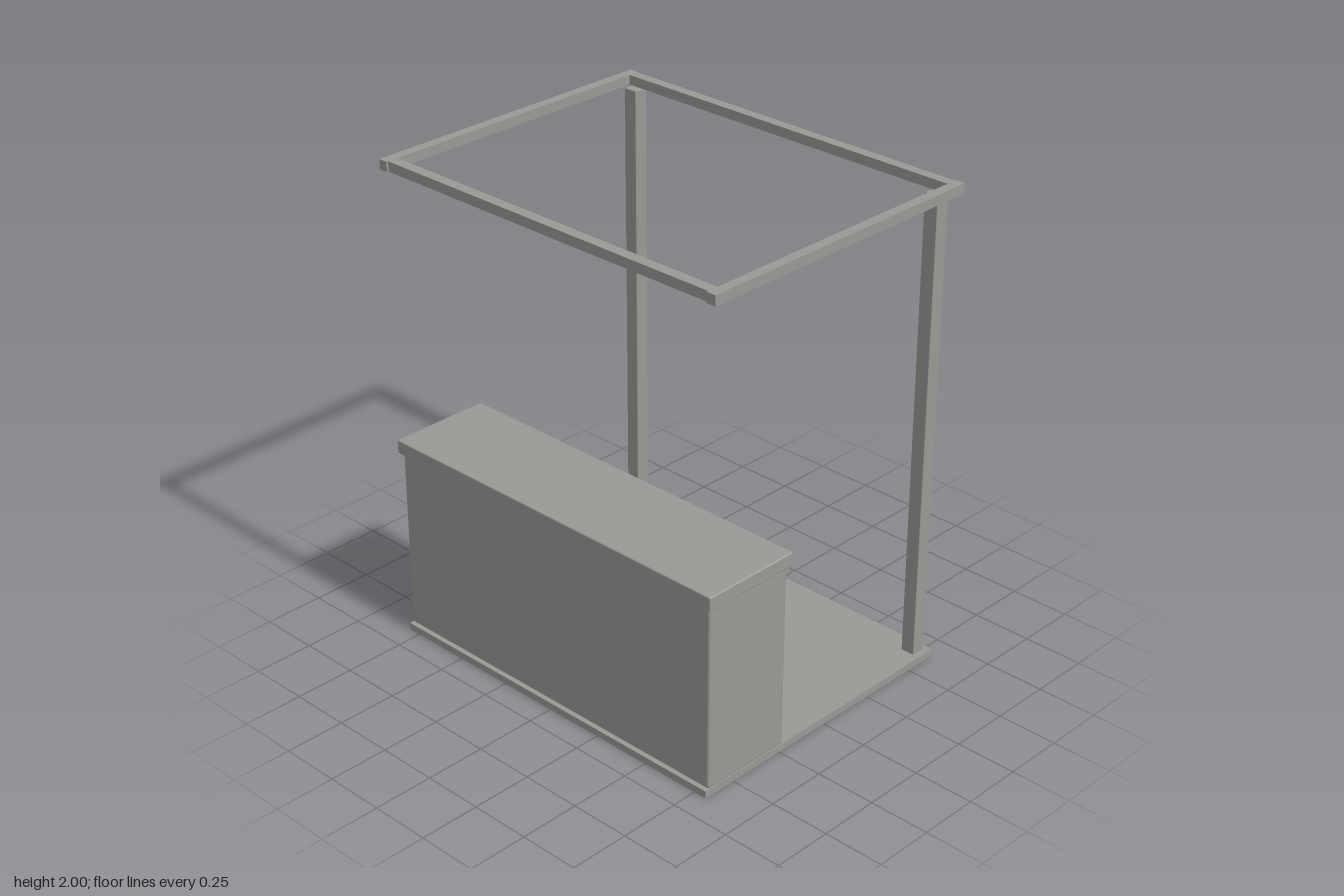
import * as THREE from 'three';
import { RoundedBoxGeometry } from 'three/addons/geometries/RoundedBoxGeometry.js';

export function createModel() {
  const group = new THREE.Group();
  const grey = new THREE.MeshStandardMaterial({ color: 0x989a95 });
  grey.name = 'stone grey';

  // Box given by its [min, max] extents, with optional softened edges
  function block(name, [x0, x1], [y0, y1], [z0, z1], bevel = 0) {
    const size = [x1 - x0, y1 - y0, z1 - z0];
    const geometry = bevel
      ? new RoundedBoxGeometry(...size, 2, bevel)
      : new THREE.BoxGeometry(...size);
    const mesh = new THREE.Mesh(geometry, grey);
    mesh.name = name;
    mesh.position.set((x0 + x1) / 2, (y0 + y1) / 2, (z0 + z1) / 2);
    group.add(mesh);
  }

  // Floor and counter
  block('floorPlate', [-0.805, 0.805], [0, 0.03], [-0.645, 0.645]);
  block('counterBody', [-0.805, 0.805], [0.03, 0.79], [0.23, 0.63], 0.01);
  block('counterTop', [-0.82, 0.82], [0.793, 0.851], [0.215, 0.645], 0.006);

  // Rear posts and side rails, mirrored
  for (const [side, s] of [['left', 1], ['right', -1]]) {
    const span = (a, b) => (s > 0 ? [a, b] : [-b, -a]);
    block(`${side}Post`, span(0.72, 0.78), [0.03, 1.96], [-0.62, -0.56], 0.003);
    block(`${side}TopRail`, span(0.79, 0.83), [1.96, 2], [-0.645, 0.645]);
  }

  // Cross rails between the side rails
  block('frontTopRail', [-0.79, 0.79], [1.96, 2], [0.593, 0.637]);
  block('backTopRail', [-0.79, 0.79], [1.96, 2], [-0.64, -0.598]);

  return group;
}
